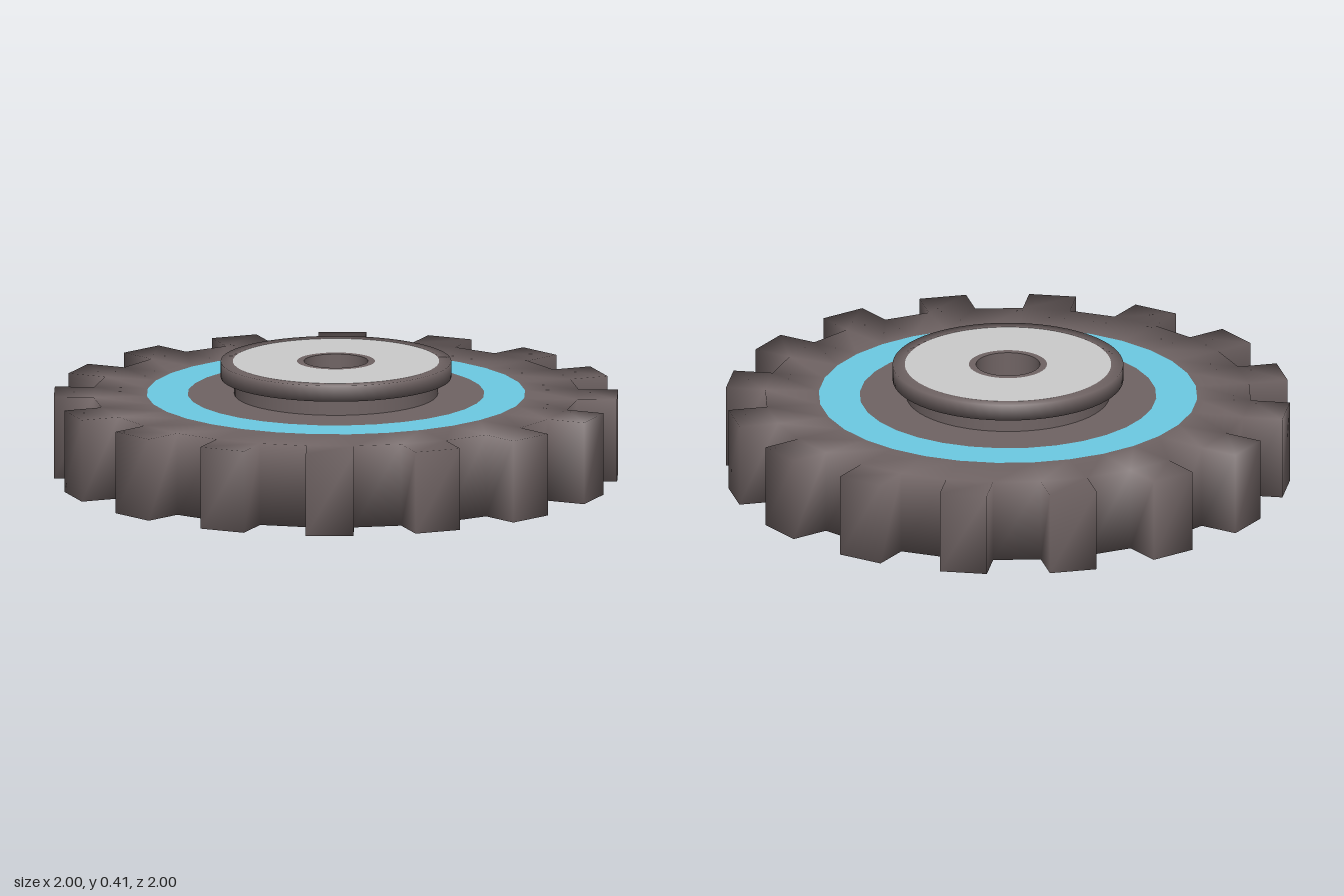
import * as THREE from 'three';

const SIDES = 32;          // every second side of the disc carries a tooth
const STEP = (Math.PI * 2) / SIDES;
const ROOT = 0.86, TOOTH = 0.14, HEIGHT = 0.295;

const brown = new THREE.MeshStandardMaterial({ color: 0x706464 });
const blue = new THREE.MeshStandardMaterial({ color: 0x6ccbe4 });
const grey = new THREE.MeshStandardMaterial({ color: 0xcccccc });

// Toothed disc with smooth normals: bottom, rim and top out to the blue ring
function gearGeometry(innerRadius) {
  const pos = [], index = [];
  const point = (a, r, y, dir = 0, out = 0) => {
    pos.push(Math.sin(a) * r + Math.sin(dir) * out, y, -Math.cos(a) * r - Math.cos(dir) * out);
    return pos.length / 3 - 1;
  };
  const quad = (a, b, c, d) => index.push(a, b, c, a, c, d);

  const ring = (r, y) => Array.from({ length: SIDES }, (_, k) => point(k * STEP, r, y));
  const topIn = ring(innerRadius, HEIGHT), top = ring(ROOT, HEIGHT);
  const bottom = ring(ROOT, 0), bottomIn = ring(innerRadius, 0);
  const centre = point(0, 0, 0);
  const wall = (t0, t1, b0, b1) => quad(b1, b0, t0, t1);

  for (let k = 0; k < SIDES; k++) {
    const n = (k + 1) % SIDES;
    quad(topIn[k], topIn[n], top[n], top[k]);
    quad(bottom[k], bottom[n], bottomIn[n], bottomIn[k]);
    index.push(bottomIn[k], bottomIn[n], centre);
    if (k % 2 === 0) {
      wall(top[k], top[n], bottom[k], bottom[n]);
      continue;
    }
    // Straight-sided tooth pushed out of this side
    const dir = (k + 0.5) * STEP;
    const tip = (i, y) => point(i * STEP, ROOT, y, dir, TOOTH);
    const t0 = tip(k, HEIGHT), t1 = tip(k + 1, HEIGHT), b0 = tip(k, 0), b1 = tip(k + 1, 0);
    quad(top[k], top[n], t1, t0);
    quad(b0, b1, bottom[n], bottom[k]);
    wall(top[k], t0, bottom[k], b0);
    wall(t0, t1, b0, b1);
    wall(t1, top[n], b1, bottom[n]);
  }
  const geometry = new THREE.BufferGeometry();
  geometry.setAttribute('position', new THREE.Float32BufferAttribute(pos, 3));
  geometry.setIndex(index);
  geometry.computeVertexNormals();
  return geometry;
}

export function createModel() {
  const group = new THREE.Group();
  const add = (name, geometry, material) => {
    const mesh = new THREE.Mesh(geometry, material);
    mesh.name = name;
    group.add(mesh);
  };
  // Turned part from [radius, height] pairs, outside surface running upward
  const turned = (name, profile, material, sides = 64) =>
    add(name, new THREE.LatheGeometry(profile.map(([r, y]) => new THREE.Vector2(r, y)), sides), material);

  add('toothedDisc', gearGeometry(0.67), brown);

  // Flush rings on top of the disc
  turned('blueRing', [[0.67, HEIGHT], [0.525, HEIGHT]], blue, SIDES);
  turned('innerDeck', [[0.525, HEIGHT], [0.35, HEIGHT]], brown, SIDES);

  // Raised hub with an overhanging flange
  turned('hubNeck', [[0.36, HEIGHT], [0.36, 0.355]], brown);
  turned('hubFlange', [[0.36, 0.355], [0.408, 0.355], [0.408, 0.412], [0.365, 0.412]], brown);
  turned('hubFace', [[0.365, 0.412], [0.138, 0.412]], grey);

  // Centre bore with a blue floor
  turned('boreLip', [[0.138, 0.412], [0.113, 0.412]], brown);
  turned('boreWall', [[0.113, 0.412], [0.113, 0.25]], brown);
  turned('boreFloor', [[0.113, 0.25], [0, 0.25]], blue);

  return group;
}
